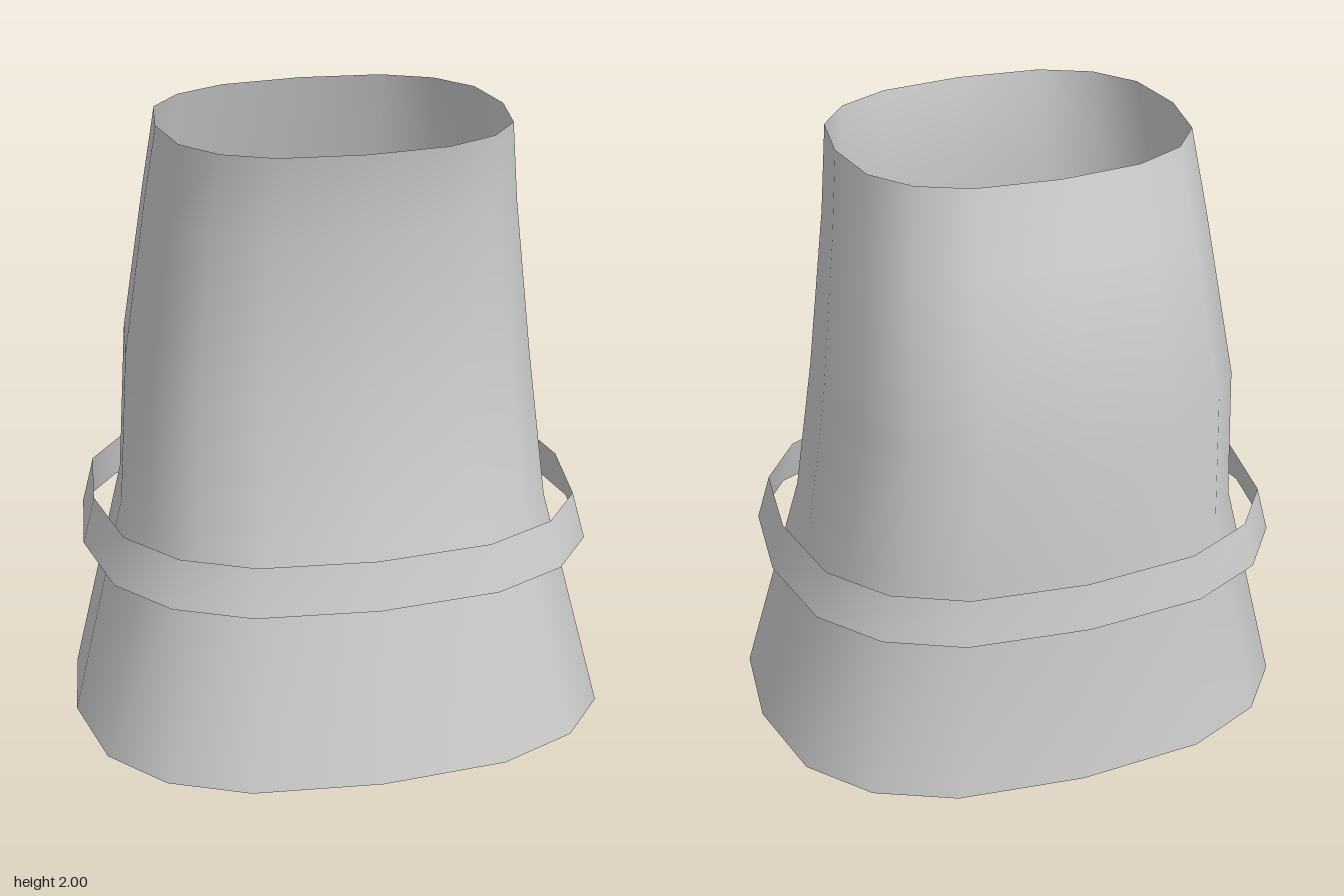
import * as THREE from 'three';

// One quarter of the rounded sixteen-sided cross-section, from side to front
const QUARTER = [[1, 0], [0.945, 0.475], [0.77, 0.76], [0.475, 0.94]];
const SECTION = [];
for (let q = 0; q < 4; q++) {
  for (const [a, b] of QUARTER) {
    // Rotate the quarter in steps of 90 degrees
    SECTION.push([[a, b], [-b, a], [-a, -b], [b, -a]][q]);
  }
}

// Open sleeve through rings given as [y, half width, front z, back z]
function sleeve(name, rings, material) {
  const positions = [], indices = [], n = SECTION.length;
  for (const [y, halfWidth, front, back] of rings) {
    const centre = (front + back) / 2, halfDepth = (front - back) / 2;
    for (const [u, v] of SECTION) positions.push(u * halfWidth, y, centre + v * halfDepth);
  }
  for (let r = 0; r < rings.length - 1; r++) {
    for (let i = 0; i < n; i++) {
      const a = r * n + i, b = r * n + (i + 1) % n;
      indices.push(a, a + n, b, b, a + n, b + n);
    }
  }
  const geometry = new THREE.BufferGeometry();
  geometry.setAttribute('position', new THREE.Float32BufferAttribute(positions, 3));
  geometry.setIndex(indices);
  geometry.computeVertexNormals();
  const mesh = new THREE.Mesh(geometry, material);
  mesh.name = name;
  return mesh;
}

export function createModel() {
  const group = new THREE.Group();
  group.name = 'bandedSleeve';
  const grey = new THREE.MeshStandardMaterial({ color: 0xcccccc, side: THREE.DoubleSide });
  grey.name = 'light grey';

  // Flared tube, bulging at the back and pinched at the front
  group.add(sleeve('tube', [
    [0, 0.88, 0.73, -0.70],
    [0.73, 0.70, 0.55, -0.615],
    [1.21, 0.66, 0.45, -0.66],
    [1.73, 0.595, 0.42, -0.515],
    [2, 0.56, 0.46, -0.445],
  ], grey));

  // Loose band around the lower part
  group.add(sleeve('band', [
    [0.59, 0.83, 0.68, -0.73],
    [0.745, 0.79, 0.645, -0.71],
  ], grey));

  return group;
}
